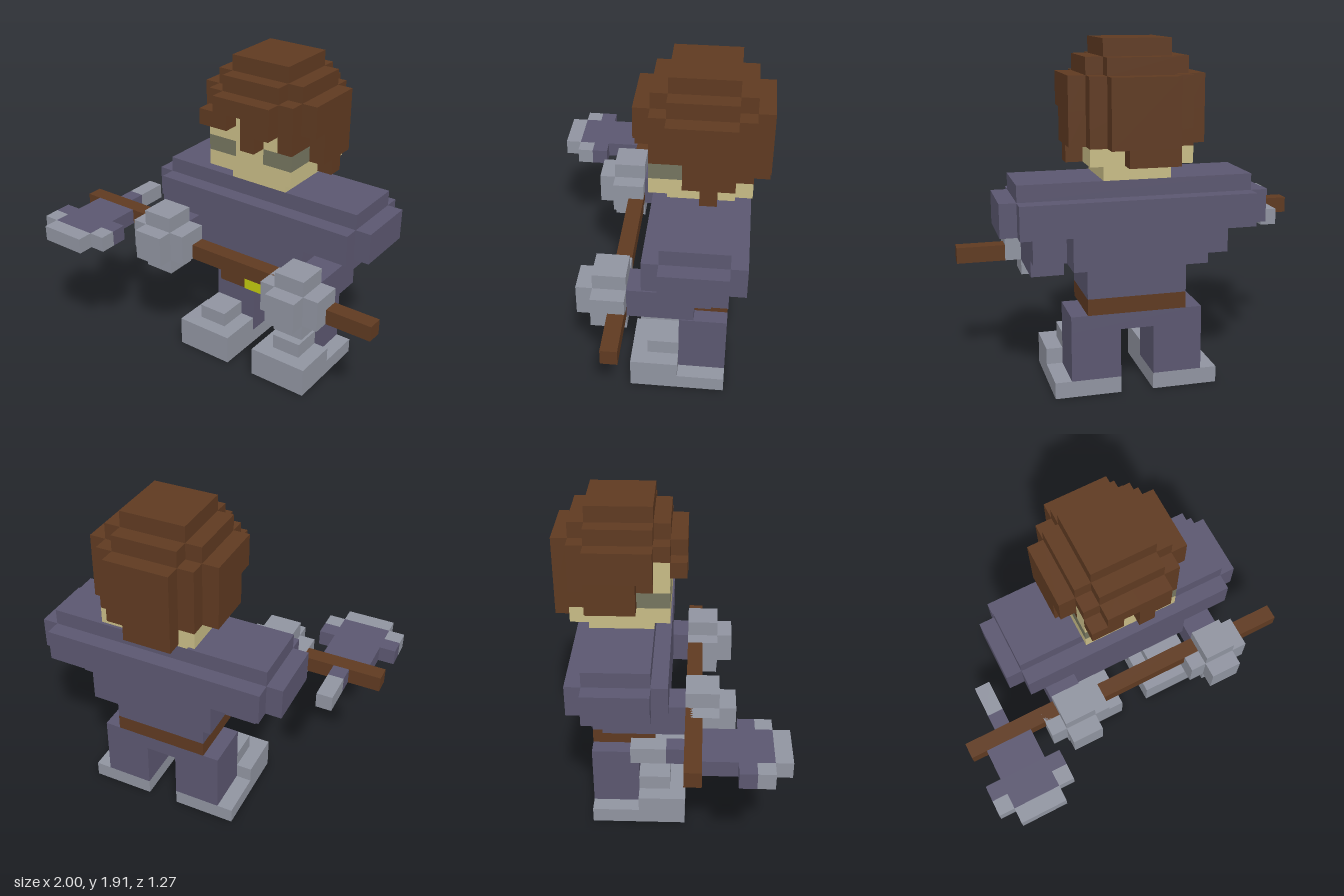
import * as THREE from 'three';

const U = 1 / 11; // size of one block

const mat = (name, color) => {
  const m = new THREE.MeshStandardMaterial({ color });
  m.name = name;
  return m;
};

export function createModel() {
  const model = new THREE.Group();
  const hairBrown = mat('brown', 0x5f3a21);
  const cloth = mat('slate purple', 0x5b5770);
  const steel = mat('steel grey', 0x9094a0);
  const skin = mat('skin', 0xc8bc86);
  const eyeGrey = mat('eye grey', 0x75755f);
  const gold = mat('gold', 0xc2ca0e);

  // A part is a group of blocks, each given as x0,x1, y0,y1, z0,z1 in block units
  const part = (name, material, blocks) => {
    const group = new THREE.Group();
    group.name = name;
    for (const [x0, x1, y0, y1, z0, z1] of blocks) {
      const geo = new THREE.BoxGeometry((x1 - x0) * U, (y1 - y0) * U, (z1 - z0) * U);
      const mesh = new THREE.Mesh(geo, material);
      mesh.name = name + 'Block';
      mesh.position.set((x0 + x1) * U / 2, (y0 + y1) * U / 2, (z0 + z1) * U / 2);
      group.add(mesh);
    }
    model.add(group);
  };

  // Boots and legs, mirrored about the body centre x = 1
  const mirror = (b) => [2 - b[1], 2 - b[0], ...b.slice(2)];
  for (const [side, f] of [['left', (b) => b], ['right', mirror]]) {
    part(side + 'Boot', steel, [
      [2, 6, 0, 1, -5, 1], [2, 6, 1, 2, -2, 1], [3, 5, 2, 3, -2, 0],
    ].map(f));
    part(side + 'Leg', cloth, [[2, 5, 1, 4, -5, -2]].map(f));
  }
  part('hips', cloth, [[-3, 5, 4, 5, -5, -2]]);

  // Waist, belt and buckle
  part('belt', hairBrown, [[-2, 4, 5, 6, -5, -1]]);
  part('waist', cloth, [[-2, 4, 6, 8, -5, -1]]);
  part('buckle', gold, [[0, 2, 5, 7, -1, -0.95]]);

  // Chest and shoulders
  part('chest', cloth, [[-3, 5, 8, 10, -6, 0]]);
  part('shoulders', cloth, [
    [-6, 8, 10, 12, -6, 0], [-7, 9, 10, 12, -5, -1], [-6, 8, 12, 13, -5, -1],
  ]);

  // Arms reach forward, the left one a block lower
  part('leftArm', cloth, [[5, 7, 8, 10, -4, -2], [5, 7, 7, 9, -3, 1]]);
  part('rightArm', cloth, [[-5, -3, 8, 10, -4, 1]]);

  // Gauntlets
  for (const [name, x, y] of [['leftGauntlet', 6, 8], ['rightGauntlet', -4, 9]]) {
    part(name, steel, [
      [x - 2, x + 2, y - 1, y + 1, 1, 3],
      [x - 1, x + 1, y - 2, y + 2, 1, 3],
      [x - 1, x + 1, y - 1, y + 1, 3, 4],
    ]);
  }

  // Axe: stepped handle, blade with steel edge, back spike
  part('axeHandle', hairBrown, [
    [6, 11, 7, 8, 1, 2], [-4, 6, 8, 9, 1, 2], [-11, -4, 9, 10, 1, 2],
  ]);
  part('axeBlade', cloth, [
    [-10, -7, 9, 10, 2, 4], [-11, -6, 9, 10, 4, 5], [-10, -7, 9, 10, 5, 6], [-9, -8, 9, 10, 0, 1],
  ]);
  part('axeEdge', steel, [
    [-11, -10, 9, 10, 5, 6], [-7, -6, 9, 10, 5, 6], [-10, -7, 9, 10, 6, 7],
  ]);
  part('axeSpike', steel, [[-9, -8, 9, 10, -2, 0]]);

  // Head
  part('neck', skin, [[-1, 3, 13, 14, -5, -1]]);
  part('face', skin, [
    [-2, 4, 14, 15, -6, 0], [0, 2, 15, 16, -2, 0], [-2, 3, 16, 18, -1, 0],
  ]);
  part('eyes', eyeGrey, [[-2, 0, 15, 16, -2, 0], [2, 4, 15, 16, -2, 0]]);

  // Hair
  part('hairCap', hairBrown, [
    [-2, 4, 15, 16, -6, -2], [-2, 4, 16, 19, -6, -1], [-2, 4, 18, 19, -1, 0],
    [-2, 4, 19, 20, -5, -1], [-1, 3, 19, 20, -6, 0], [-1, 3, 20, 21, -5, -1],
  ]);
  part('fringe', hairBrown, [
    [-2, -1, 17, 18, 0, 1], [-1, 0, 17, 19, 0, 1], [0, 1, 18, 19, 0, 1],
    [1, 2, 16, 19, 0, 1], [2, 3, 17, 19, 0, 1], [3, 4, 16, 18, -1, 0],
  ]);
  part('leftSideHair', hairBrown, [
    [4, 5, 17, 19, -5, -1], [4, 5, 15, 17, -5, -2], [4, 5, 14, 15, -4, -3],
  ]);
  part('rightSideHair', hairBrown, [[-3, -2, 17, 19, -5, -1], [-3, -2, 15, 17, -5, -2]]);
  part('backHair', hairBrown, [[-1, 3, 15, 19, -7, -6], [-1, 2, 14, 15, -7, -6]]);

  return model;
}
